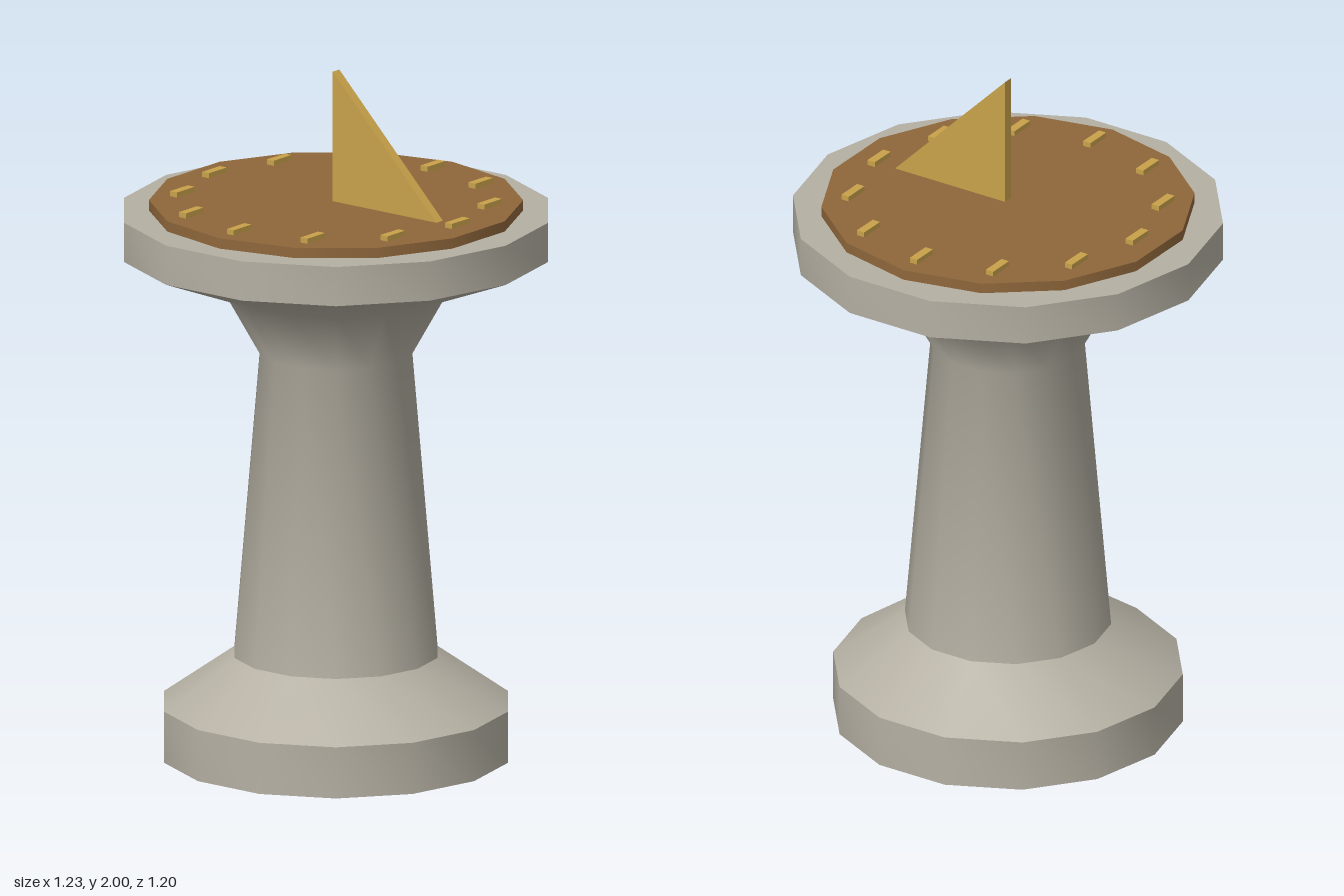
import * as THREE from 'three';
import { toCreasedNormals } from 'three/addons/utils/BufferGeometryUtils.js';

export function createModel() {
  const model = new THREE.Group();
  model.name = 'sundial';

  const material = (name, color) => {
    const m = new THREE.MeshStandardMaterial({ color });
    m.name = name;
    return m;
  };
  const stone = material('stone', 0xb5b0a3);
  const bronze = material('bronze', 0x8f673b);
  const brass = material('brass', 0xc8a24a);

  const add = (name, geometry, mat, parent = model) => {
    const mesh = new THREE.Mesh(geometry, mat);
    mesh.name = name;
    parent.add(mesh);
    return mesh;
  };

  const SIDES = 14;

  // Pedestal: foot, tapered shaft, flared cap
  const profile = [
    [0, 0], [0.5, 0], [0.5, 0.15], [0.295, 0.295], [0.22, 1.18],
    [0.32, 1.36], [0.615, 1.475], [0.615, 1.59], [0, 1.59],
  ].map(([r, y]) => new THREE.Vector2(r, y));
  const pedestal = new THREE.LatheGeometry(profile, SIDES, Math.PI / 2);
  add('pedestal', toCreasedNormals(pedestal, THREE.MathUtils.degToRad(44)), stone);

  // Dial plate
  add('dialPlate', new THREE.CylinderGeometry(0.53, 0.53, 0.03, SIDES), bronze).position.y = 1.605;

  // Twelve hour markers, all parallel to z
  const markers = new THREE.Group();
  markers.name = 'hourMarkers';
  model.add(markers);
  const markerGeometry = new THREE.BoxGeometry(0.025, 0.02, 0.08);
  for (let i = 0; i < 12; i++) {
    const a = (i / 12) * Math.PI * 2;
    add('hourMarker', markerGeometry, brass, markers)
      .position.set(Math.cos(a) * 0.44, 1.625, Math.sin(a) * 0.44);
  }

  // Gnomon: upright right triangle sloping down to +x
  const triangle = new THREE.Shape();
  triangle.moveTo(0, 1.615);
  triangle.lineTo(0.38, 1.615);
  triangle.lineTo(0, 2);
  triangle.closePath();
  const gnomon = new THREE.ExtrudeGeometry(triangle, { depth: 0.03, bevelEnabled: false });
  gnomon.translate(0, 0, -0.015);
  add('gnomon', gnomon, brass);

  return model;
}
